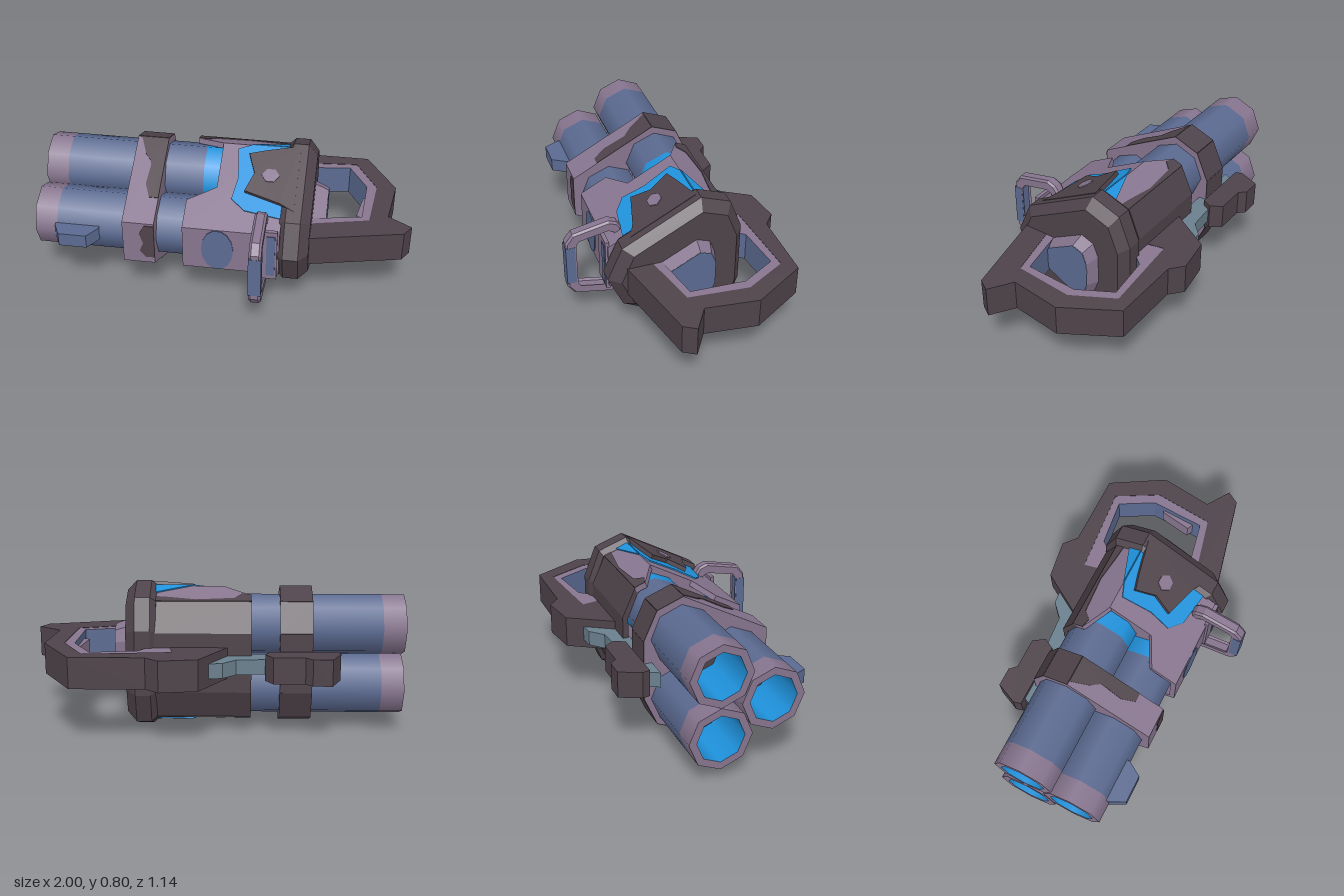
import * as THREE from 'three';

const mat = (name, color) => Object.assign(new THREE.MeshStandardMaterial({ color }), { name });
const V2 = (pts) => pts.map(([a, b]) => new THREE.Vector2(a, b));
const MID = 0.405; // height of the symmetry plane

export function createModel() {
  const root = new THREE.Group();
  root.name = 'launcher';
  const mauve = mat('mauve', 0x87758f);
  const dark = mat('dark brown', 0x4e434a);
  const blue = mat('slate blue', 0x5b6a91);
  const cyan = mat('bright cyan', 0x1f92dc);
  const teal = mat('grey teal', 0x6a7f8d);
  mauve.side = cyan.side = blue.side = THREE.DoubleSide;

  const add = (name, geo, material, parent = root) => {
    const m = new THREE.Mesh(geo, material);
    m.name = name;
    parent.add(m);
    return m;
  };

  // Closed faceted body: a [z, y] profile swept along x with [x, scale] sections
  const loft = (name, profile, sections, material) => {
    const pos = [];
    const n = profile.length;
    const at = ([x, s], i) => {
      const [z, y] = profile[i % n];
      return [x, MID + (y - MID) * s, -0.03 + (z + 0.03) * s];
    };
    for (let i = 0; i < n; i++) {
      for (let k = 0; k + 1 < sections.length; k++) {
        const [p, q] = [sections[k], sections[k + 1]];
        const [a, b, c, d] = [at(p, i), at(q, i), at(q, i + 1), at(p, i + 1)];
        pos.push(...a, ...b, ...c, ...a, ...c, ...d);
      }
      const [f, l] = [sections[0], sections[sections.length - 1]];
      pos.push(f[0], MID, -0.03, ...at(f, i), ...at(f, i + 1));
      pos.push(l[0], MID, -0.03, ...at(l, i + 1), ...at(l, i));
    }
    const g = new THREE.BufferGeometry();
    g.setAttribute('position', new THREE.Float32BufferAttribute(pos, 3));
    g.computeVertexNormals();
    return add(name, g, material);
  };

  // Plate on the facet from a to b ([z, y]); points are [x, fraction along facet]
  const plate = (name, a, b, pts, lo, hi, material) => {
    const v = new THREE.Vector3(0, b[1] - a[1], b[0] - a[0]);
    const len = v.length();
    v.normalize();
    const u = new THREE.Vector3(1, 0, 0);
    const n = new THREE.Vector3().crossVectors(u, v);
    const shape = new THREE.Shape(V2(pts.map(([x, s]) => [x, s * len])));
    const g = new THREE.ExtrudeGeometry(shape, { depth: hi - lo, bevelEnabled: false });
    g.translate(0, 0, lo);
    g.applyMatrix4(new THREE.Matrix4().makeBasis(u, v, n).setPosition(0, a[1], a[0]));
    return add(name, g, material);
  };
  const flip = ([z, y]) => [z, 2 * MID - y];
  const platePair = (name, a, b, pts, lo, hi, material) => {
    plate(name + 'Top', a, b, pts, lo, hi, material);
    plate(name + 'Bottom', flip(b), flip(a), pts.map(([x, s]) => [x, 1 - s]), lo, hi, material);
  };
  const ellipse = (cx, cs, rx, rs) => Array.from({ length: 14 }, (_, i) => {
    const t = (i / 14) * Math.PI * 2;
    return [cx + rx * Math.cos(t), cs + rs * Math.sin(t)];
  });

  // Horizontal slab with an [x, z] outline
  const slab = (name, pts, y0, y1, material) => {
    const g = new THREE.ExtrudeGeometry(new THREE.Shape(V2(pts)), { depth: y1 - y0, bevelEnabled: false });
    g.rotateX(Math.PI / 2).translate(0, y1, 0);
    return add(name, g, material);
  };

  // Three barrels: mauve muzzle, blue tube, cyan collar, hollow bore
  const R = 0.165, BORE = 0.125;
  [[MID + R, -0.11], [MID - R, -0.11], [MID, 0.16]].forEach(([y, z], i) => {
    const barrel = new THREE.Group();
    barrel.name = 'barrel' + (i + 1);
    barrel.position.set(0, y, z);
    root.add(barrel);
    const tube = (name, x0, x1, r, m) => {
      const g = new THREE.CylinderGeometry(r, r, x1 - x0, 8, 1, true);
      add(name, g.rotateZ(Math.PI / 2).translate((x0 + x1) / 2, 0, 0), m, barrel);
    };
    tube('muzzle', -1, -0.88, R, mauve);
    tube('tube', -0.88, -0.13, R, blue);
    tube('collar', -0.13, 0.02, R, cyan);
    tube('bore', -1, -0.7, BORE, cyan);
    add('rim', new THREE.RingGeometry(BORE, R, 8).rotateY(-Math.PI / 2).translate(-1, 0, 0), mauve, barrel);
    add('boreFloor', new THREE.CircleGeometry(BORE, 8).rotateY(-Math.PI / 2).translate(-0.7, 0, 0), dark, barrel);
  });

  // Rounded triangle profile of the housing and band, front over the top to the back
  const half = [[0.365, 0.53], [-0.1, 0.775], [-0.24, 0.72], [-0.31, 0.565]];
  const body = [...half, ...half.map(flip).reverse()];
  const [F, T, S, B] = half;

  // Barrel band with dark rear and patches
  loft('band', body, [[-0.51, 1], [-0.34, 1]], mauve);
  const strip = [[-0.51, 0], [-0.34, 0], [-0.34, 1], [-0.51, 1]];
  platePair('bandRearUpper', T, S, strip, 0, 0.004, dark);
  platePair('bandRearCorner', S, B, strip, 0, 0.004, dark);
  plate('bandBack', B, flip(B), strip, 0, 0.004, dark);
  plate('bandFrontPatch', flip(F), F,
    [[-0.34, 0.15], [-0.34, 0.95], [-0.39, 0.95], [-0.42, 0.75], [-0.4, 0.5], [-0.42, 0.3], [-0.39, 0.15]], 0, 0.004, dark);
  platePair('bandSidePatch', F, T,
    [[-0.34, 0.3], [-0.34, 1], [-0.49, 1], [-0.45, 0.8], [-0.41, 0.7], [-0.42, 0.45], [-0.39, 0.3]], 0, 0.004, dark);

  // Housing: core plus shell panels, notched over the barrels
  loft('housingCore', body, [[-0.04, 0.95], [0.32, 0.95]], mauve);
  const full = [[-0.19, 0], [0.32, 0], [0.32, 1], [-0.19, 1]];
  plate('housingFront', flip(F), F, full, -0.03, 0, mauve);
  platePair('housingSide', F, T,
    [[-0.19, 0], [0.32, 0], [0.32, 1], [-0.04, 1], [-0.04, 0.48], [-0.19, 0.31]], -0.03, 0, mauve);
  platePair('housingShoulder', T, S, [[-0.04, 0], [0.32, 0], [0.32, 1], [-0.19, 1], [-0.19, 0.6]], -0.03, 0, mauve);
  platePair('housingShoulderPatch', T, S,
    [[-0.19, 0.6], [-0.14, 0.5], [-0.1, 0.8], [0.1, 0.9], [0.25, 0.75], [0.32, 0.7], [0.32, 1], [-0.19, 1]], 0, 0.004, dark);
  platePair('housingCorner', S, B, full, -0.03, 0, dark);
  plate('housingBack', B, flip(B), full, -0.03, 0, dark);
  plate('frontSpot', flip(F), F, ellipse(-0.005, 0.5, 0.085, 0.5), 0, 0.005, blue);

  // Side armour: cyan border, dark plate running into the cap, mauve bolt
  platePair('cyanBorder', F, T,
    [[0.045, 0.94], [0.12, 1], [0.32, 1], [0.32, 0.18], [0.12, 0.24], [0.045, 0.36], [0.065, 0.6]], 0, 0.007, cyan);
  platePair('cyanCorner', T, S, [[0.12, 0], [0.32, 0], [0.32, 0.48]], 0, 0.007, cyan);
  platePair('armourPlate', F, T,
    [[0.11, 0.87], [0.2, 0.92], [0.38, 1], [0.38, 0.25], [0.3, 0.33], [0.11, 0.44], [0.15, 0.65]], 0, 0.03, dark);
  platePair('bolt', F, T,
    [[0.19, 0.63], [0.215, 0.7], [0.26, 0.7], [0.285, 0.63], [0.26, 0.56], [0.215, 0.56]], 0.03, 0.035, mauve);

  // End cap with a tapered boss
  const capHalf = [[0.32, 0.585], [-0.1, 0.805], [-0.26, 0.745], [-0.325, 0.58]];
  const cap = [[0.4, MID], ...capHalf, ...capHalf.map(flip).reverse()];
  loft('endCap', cap, [[0.31, 0.93], [0.34, 1], [0.42, 1], [0.47, 0.86]], dark);
  loft('boss', cap, [[0.46, 0.46], [0.54, 0.38]], mauve);
  loft('bossFace', cap, [[0.535, 0.378], [0.543, 0.378]], blue);

  // Front carrying loop and its mount
  plate('loopMount', flip(F), F, [[0.18, -0.1], [0.31, -0.1], [0.31, 1.1], [0.18, 1.1]], -0.01, 0.012, mauve);
  plate('mountStripe', flip(F), F, [[0.255, 0], [0.3, 0], [0.3, 1], [0.255, 1]], 0.012, 0.017, blue);
  const loopOuter = [[0.27, 0.59], [0.29, 0.62], [0.335, 0.638], [0.53, 0.598], [0.57, 0.545]];
  const loopInner = [[0.3, 0.575], [0.34, 0.593], [0.505, 0.56], [0.523, 0.53]];
  const ring = new THREE.Shape(V2([...loopOuter, ...loopOuter.map(flip).reverse()]));
  ring.holes.push(new THREE.Path(V2([...loopInner, ...loopInner.map(flip).reverse()])));
  const loopGeo = new THREE.ExtrudeGeometry(ring, {
    depth: 0.04, bevelThickness: 0.012, bevelSize: 0.01, bevelOffset: -0.01, bevelSegments: 1,
  });
  add('carryLoop', loopGeo.rotateY(-Math.PI / 2).translate(0.238, 0, 0), mauve);
  add('loopGrip', new THREE.BoxGeometry(0.067, 0.23, 0.05).translate(0.218, MID, 0.546), blue);

  // Sight block on the front barrel
  slab('sight', [[-0.89, 0.3], [-0.65, 0.3], [-0.65, 0.325], [-0.7, 0.405], [-0.85, 0.405], [-0.89, 0.325]], 0.37, 0.445, blue);

  // Rear handle frame with inner lining and trigger
  slab('handleFrame', [
    [-0.07, -0.3], [0.08, -0.54], [0.28, -0.57], [0.35, -0.51], [0.74, -0.51], [0.905, -0.23], [0.87, 0.05],
    [0.995, 0.13], [0.955, 0.195], [0.44, 0.315], [0.44, 0.18], [0.77, 0.1], [0.8, -0.22], [0.68, -0.44],
    [0.22, -0.4], [0.24, -0.3],
  ], 0.323, 0.49, dark);
  slab('handleLining', [
    [0.22, -0.4], [0.68, -0.44], [0.8, -0.22], [0.77, 0.1], [0.44, 0.18], [0.44, 0.13], [0.73, 0.07],
    [0.745, -0.22], [0.645, -0.4], [0.4, -0.37], [0.34, -0.3], [0.24, -0.3],
  ], 0.325, 0.488, [mauve, blue]);
  slab('trigger', [[0.73, -0.16], [0.78, -0.16], [0.78, 0.05], [0.7, 0.01]], 0.36, 0.45, mauve);

  // Rear rail and foregrip
  slab('rail', [
    [-0.63, -0.27], [-0.6, -0.33], [-0.3, -0.37], [-0.11, -0.385], [-0.04, -0.45], [0.04, -0.46], [0.04, -0.27],
  ], 0.365, 0.445, teal);
  slab('foregrip', [
    [-0.65, -0.37], [-0.6, -0.483], [-0.5, -0.483], [-0.465, -0.447], [-0.3, -0.447], [-0.26, -0.385],
    [-0.29, -0.33], [-0.64, -0.33],
  ], 0.335, 0.475, dark);

  return root;
}
